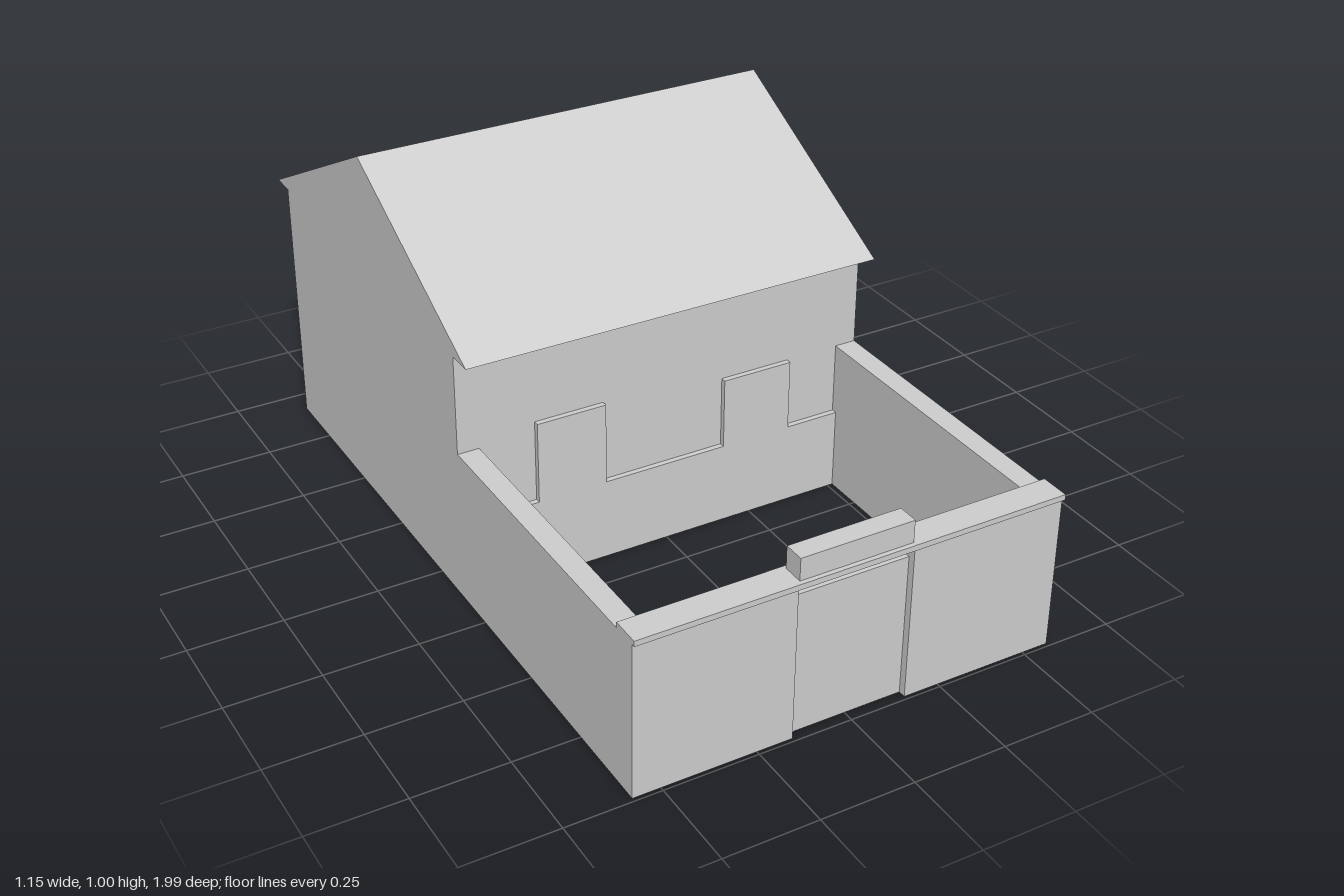
import * as THREE from 'three';

export function createModel() {
  const model = new THREE.Group();
  model.name = 'courtyardHouse';
  const plaster = new THREE.MeshStandardMaterial({ color: 0xcccccc });
  plaster.name = 'greyPlaster';

  const HALF = 0.573;   // half width of the whole building
  const GATE = 0.155;   // half width of the gate opening
  const WALL = 0.42;    // courtyard wall height

  const add = (name, geometry) => {
    const mesh = new THREE.Mesh(geometry, plaster);
    mesh.name = name;
    model.add(mesh);
    return mesh;
  };
  // Box given by its extents on each axis
  const box = (name, x0, x1, y0, y1, z0, z1) => {
    const g = new THREE.BoxGeometry(x1 - x0, y1 - y0, z1 - z0);
    g.translate((x0 + x1) / 2, (y0 + y1) / 2, (z0 + z1) / 2);
    return add(name, g);
  };
  const extrude = (points, depth) => new THREE.ExtrudeGeometry(
    new THREE.Shape(points.map(([a, b]) => new THREE.Vector2(a, b))),
    { depth, bevelEnabled: false });

  // House body and gabled roof: one (z, y) profile run across the width
  const house = extrude([
    [-0.92, 0], [0.13, 0], [0.13, 0.69], [0.2, 0.69],
    [-0.395, 0.995], [-0.99, 0.69], [-0.92, 0.69],
  ], HALF * 2);
  house.translate(0, 0, -HALF).rotateY(-Math.PI / 2);
  add('houseAndRoof', house);

  // Raised base course on the house front, with two upright panels
  const facade = extrude([
    [-0.515, 0], [0.515, 0], [0.515, 0.225], [0.365, 0.225], [0.365, 0.42],
    [0.168, 0.42], [0.168, 0.225], [-0.175, 0.225], [-0.175, 0.45],
    [-0.365, 0.45], [-0.365, 0.225], [-0.515, 0.225],
  ], 0.015);
  facade.translate(0, 0, 0.13);
  add('facadePanels', facade);

  // Courtyard side walls and the two halves of the front wall
  for (const [side, s] of [['left', 1], ['right', -1]]) {
    const span = (a, b) => (s > 0 ? [a, b] : [-b, -a]);
    box(side + 'CourtyardWall', ...span(0.515, HALF), 0, WALL, 0.13, 0.925);
    box(side + 'FrontWall', ...span(GATE, HALF), 0, WALL, 0.925, 0.99);
  }

  // Recessed gate, with a gap left under the coping
  box('gate', -GATE, GATE, 0, 0.385, 0.945, 0.97);

  // Coping along the front wall and the block above the gate
  box('frontCoping', -HALF, HALF, WALL, 0.435, 0.922, 1.0);
  box('gateBlock', -0.152, 0.152, 0.435, 0.495, 0.932, 0.988);

  return model;
}
